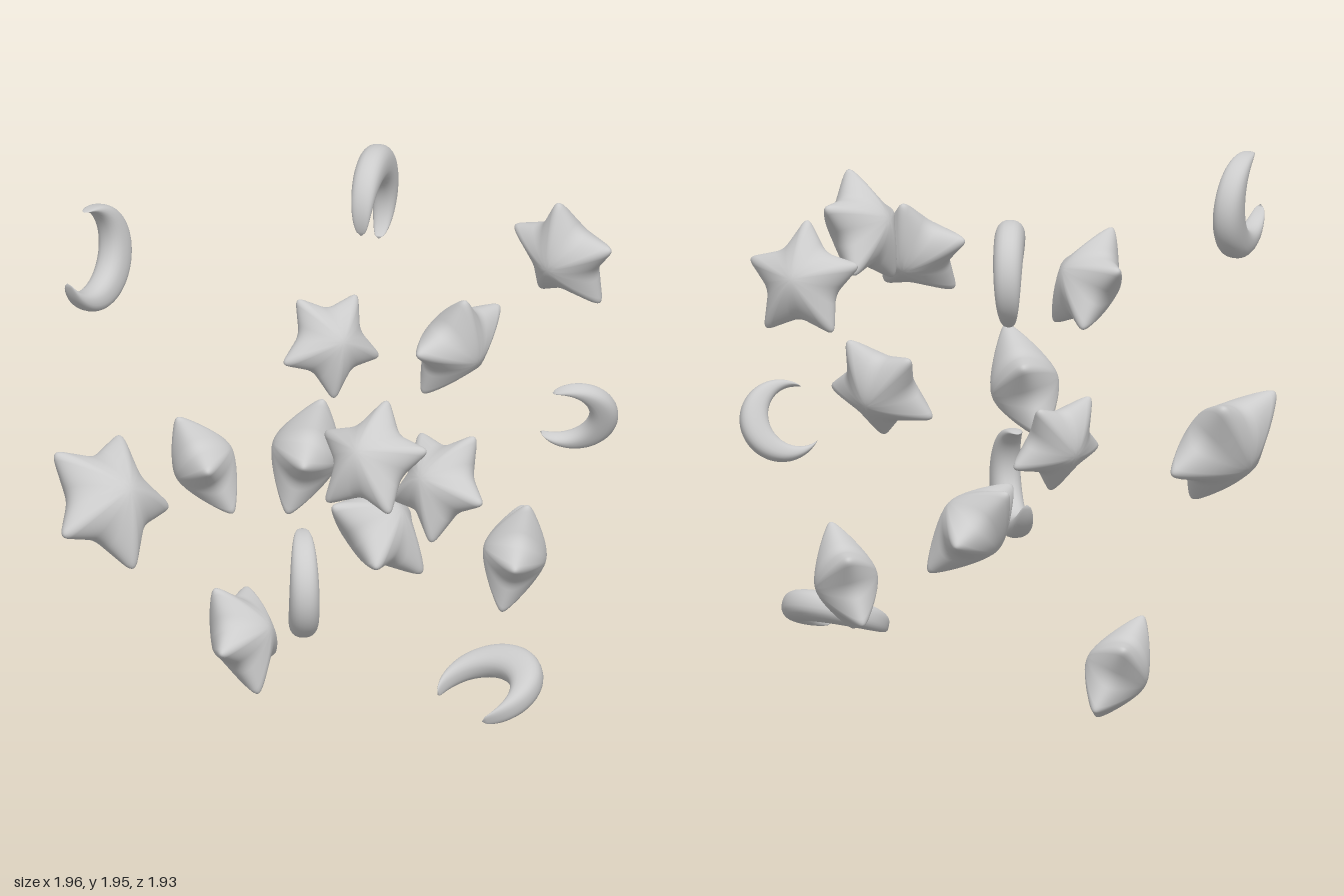
import * as THREE from 'three';
import { mergeVertices } from 'three/addons/utils/BufferGeometryUtils.js';

const V = (x, y, z = 0) => new THREE.Vector3(x, y, z);

// Smooth skin over a list of closed rings; the first and last ring are points
function loft(rings) {
  const m = rings[0].length, index = [];
  for (let i = 0; i < rings.length - 1; i++) {
    for (let j = 0; j < m; j++) {
      const k = (j + 1) % m;
      const a = i * m + j, b = i * m + k, c = a + m, d = b + m;
      if (i > 0) index.push(a, d, b);
      if (i < rings.length - 2) index.push(a, c, d);
      else index.push(a, c, b);
    }
  }
  let g = new THREE.BufferGeometry().setFromPoints(rings.flat());
  g.setIndex(index);
  g = mergeVertices(g, 1e-5);
  g.computeVertexNormals();
  return g;
}

// Puffy five-pointed star: unit radius, tip along +y, faces along +z and -z
function starGeometry() {
  const corners = [];
  for (let k = 0; k < 10; k++) {
    const a = Math.PI / 2 + k * Math.PI / 5, r = k % 2 ? 0.6 : 1.06;
    corners.push(V(r * Math.cos(a), r * Math.sin(a)));
  }
  const outline = [];
  corners.forEach((p, k) => {
    const from = p.clone().lerp(corners[(k + 9) % 10], 0.24);
    const to = p.clone().lerp(corners[(k + 1) % 10], 0.24);
    outline.push(...new THREE.QuadraticBezierCurve3(from, p, to).getPoints(6));
  });
  const rings = [], n = 14;
  for (let i = 0; i <= 2 * n; i++) {
    const s = i % (2 * n) ? Math.sin(Math.PI * i / (2 * n)) : 0;
    // a soft cone towards the tips, rounded off at the rim
    const rim = Math.sign(n - i) * 0.53 * Math.sqrt(Math.max(0, 1 - s ** 3));
    rings.push(outline.map(p => {
      const cone = 1 - 0.8 * (Math.hypot(p.length() * s, 0.18) - 0.18);
      return V(p.x * s, p.y * s, rim * cone);
    }));
  }
  return loft(rings);
}

// Plump crescent: unit outer radius, thickest at +y, flat plane facing z
function moonGeometry() {
  const rings = [], n = 48;
  const outerEnd = 2.4, innerCentre = -0.439, innerRadius = 0.739, innerEnd = 1.986;
  const soften = v => Math.sign(v) * Math.abs(v) ** 0.85;
  for (let i = 0; i <= n; i++) {
    const t = 2 * i / n - 1;
    const a = Math.PI / 2 + outerEnd * t, b = Math.PI / 2 + innerEnd * t;
    const outer = V(Math.cos(a), Math.sin(a));
    const inner = V(innerRadius * Math.cos(b), innerCentre + innerRadius * Math.sin(b));
    const mid = outer.clone().add(inner).multiplyScalar(0.5);
    const half = outer.clone().sub(mid);
    const end = i === 0 || i === n;
    const depth = 0.28 * (half.length() / 0.35) ** 0.45;
    const ring = [];
    for (let j = 0; j < 24; j++) {
      const q = j / 24 * Math.PI * 2;
      const p = mid.clone();
      if (!end) p.addScaledVector(half, soften(Math.cos(q))).add(V(0, 0, depth * soften(Math.sin(q))));
      ring.push(p);
    }
    rings.push(ring);
  }
  return loft(rings);
}

// Each entry: centre, radius, tip direction, face normal
const STARS = [
  [[-0.835, 1.345, 0.29], 0.21, [-17.9, 34.5, -4.4], [0.82, 0.47, 0.32]],
  [[-0.455, 1.445, 0.785], 0.219, [20.3, 33.5, -11.7], [-0.75, 0.57, 0.35]],
  [[0.11, 1.64, 0.45], 0.217, [-3.2, 36.8, 16.7], [0.26, -0.38, 0.89]],
  [[0.885, 1.625, -0.055], 0.215, [-7.8, 40.6, 3.7], [0.9, 0.21, -0.39]],
  [[-0.185, 1.11, -0.065], 0.23, [6.2, 41.7, 13.5], [0.77, -0.28, 0.58]],
  [[0.1, 1.08, 0.365], 0.213, [20, 33, 11.4], [0.87, -0.46, -0.2]],
  [[0.427, 1.1, -0.87], 0.197, [-17.4, 30, -12.5], [-0.06, 0.35, 0.93]],
  [[-0.725, 0.89, -0.51], 0.26, [-30, 33.7, -17.9], [0.16, 0.57, 0.81]],
  [[0.21, 0.68, -0.215], 0.228, [0.7, 27.4, -34.1], [0.45, 0.69, 0.56]],
  [[0.68, 0.53, -0.06], 0.213, [3, 37.7, 12.4], [0.81, -0.23, 0.54]],
  [[-0.085, 0.185, -0.635], 0.215, [-17.9, 34.2, -6.3], [0.56, 0.42, 0.72]],
];

// Each entry: centre, radius, direction of the thick side, face normal
const MOONS = [
  [[-0.7, 1.765, -0.63], 0.19, [0.82, -0.57, -0.32], [0.42, 0.1, 0.9]],
  [[0.508, 1.69, -0.71], 0.19, [0.085, 0.255, -0.078], [0.68, 0, 0.74]],
  [[0.815, 1.09, 0.13], 0.147, [1, -0.2, 0.46], [-0.45, -0.4, 0.8]],
  [[-0.325, 0.715, 0.135], 0.193, [-0.435, -0.5, 0.757], [0.87, 0, 0.5]],
  [[0.275, 0.287, 0.415], 0.192, [0.92, 0.38, -0.05], [-0.38, 0.92, 0.08]],
];

export function createModel() {
  const model = new THREE.Group();
  model.name = 'starsAndMoons';
  const material = new THREE.MeshStandardMaterial({ color: 0xcccccc });

  const scatter = (name, geometry, list) => list.forEach(([centre, radius, up, normal], i) => {
    const z = V(...normal).normalize();
    const y = V(...up).projectOnPlane(z).normalize();
    const x = y.clone().cross(z);
    const mesh = new THREE.Mesh(geometry, material);
    mesh.name = name + (i + 1);
    mesh.quaternion.setFromRotationMatrix(new THREE.Matrix4().makeBasis(x, y, z));
    mesh.position.set(...centre);
    mesh.scale.setScalar(radius);
    model.add(mesh);
  });

  scatter('star', starGeometry(), STARS);
  scatter('moon', moonGeometry(), MOONS);
  return model;
}
